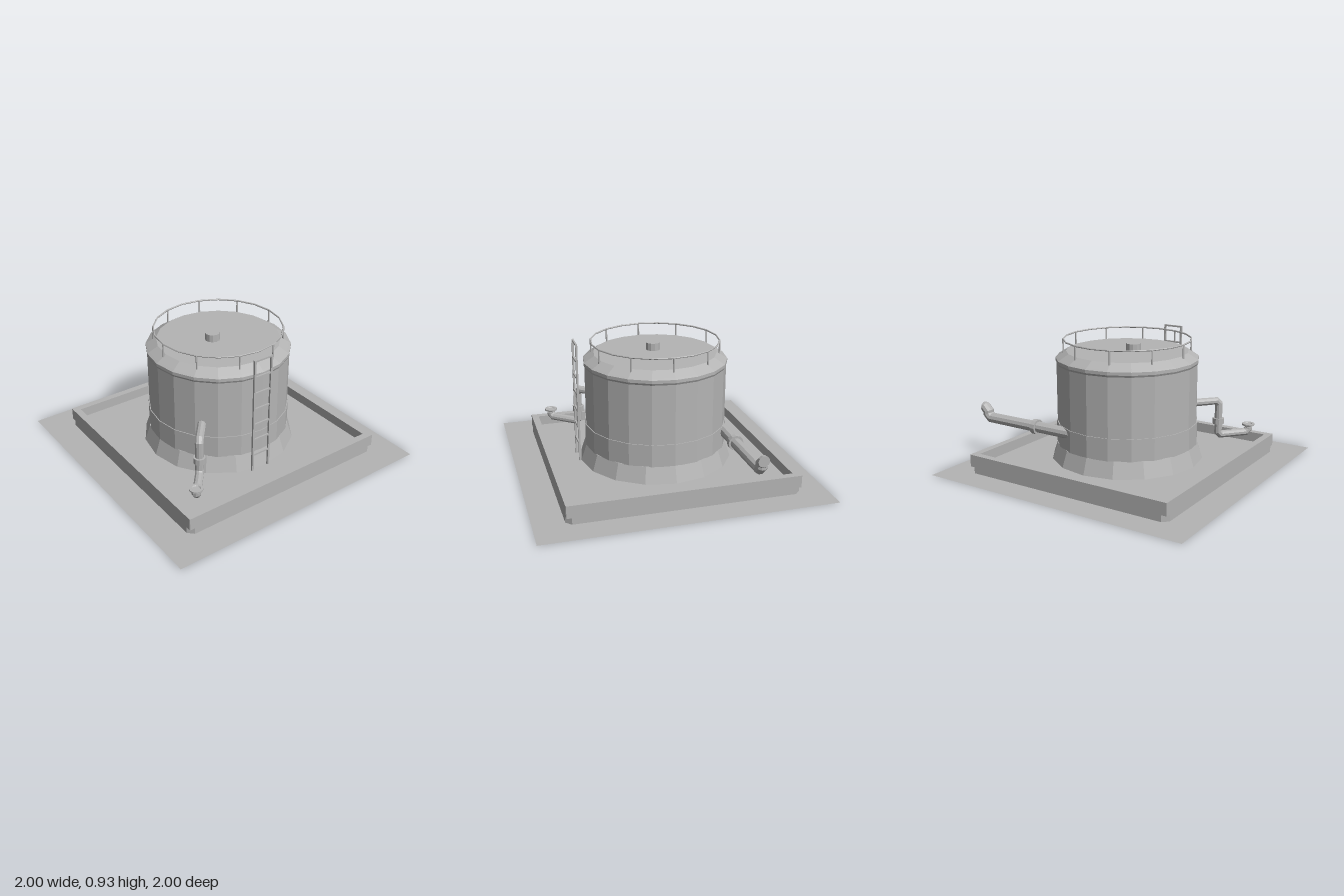
import * as THREE from 'three';

const CX = 0.01, CZ = -0.01; // tank axis
const concrete = new THREE.MeshStandardMaterial({ color: 0xb4b4b4, flatShading: true, side: THREE.DoubleSide });
concrete.name = 'plain grey';

const V = (x, y, z) => new THREE.Vector3(x, y, z);

function add(parent, name, geometry, x = 0, y = 0, z = 0) {
  const mesh = new THREE.Mesh(geometry, concrete);
  mesh.name = name;
  mesh.position.set(x, y, z);
  parent.add(mesh);
  return mesh;
}

function lathe(parent, name, profile, sides, x = CX, z = CZ) {
  const points = profile.map(([r, y]) => new THREE.Vector2(r, y));
  return add(parent, name, new THREE.LatheGeometry(points, sides), x, 0, z);
}

// Polyline path that places one tube ring at each point
class Polyline extends THREE.Curve {
  constructor(points) { super(); this.points = points; }
  getPoint(t) { return this.points[Math.round(t * (this.points.length - 1))].clone(); }
  getPointAt(t) { return this.getPoint(t); }
  getTangentAt(t) {
    const p = this.points, n = p.length - 1, i = Math.round(t * n), d = V(0, 0, 0);
    if (i > 0) d.add(p[i].clone().sub(p[i - 1]).normalize());
    if (i < n) d.add(p[i + 1].clone().sub(p[i]).normalize());
    return d.normalize();
  }
}

// Pipe with chamfered elbows and a cap on its far end
function pipe(parent, name, corners, radius, cut) {
  const path = [corners[0]];
  for (let i = 1; i < corners.length - 1; i++) {
    for (const other of [corners[i - 1], corners[i + 1]]) {
      path.push(corners[i].clone().add(other.clone().sub(corners[i]).setLength(cut)));
    }
  }
  path.push(corners.at(-1));
  add(parent, name, new THREE.TubeGeometry(new Polyline(path), path.length - 1, radius, 10));
  const cap = add(parent, name + 'Cap', new THREE.CircleGeometry(radius, 10));
  cap.position.copy(path.at(-1));
  cap.lookAt(path.at(-1).clone().multiplyScalar(2).sub(path.at(-2)));
}

// Square outline with optional cut corners
function square(half, cut = 0) {
  const h = half, c = half - cut;
  const pts = [[c, -h], [h, -c], [h, c], [c, h], [-c, h], [-h, c], [-h, -c], [-c, -h]];
  return pts.map(([x, y]) => new THREE.Vector2(x, y));
}

function frame(parent, name, cut, y, height) {
  const shape = new THREE.Shape(square(0.8, cut));
  shape.holes.push(new THREE.Path(square(0.75)));
  const geometry = new THREE.ExtrudeGeometry(shape, { depth: height, bevelEnabled: false });
  geometry.rotateX(-Math.PI / 2);
  add(parent, name, geometry, 0.01, y, -0.01);
}

export function createModel() {
  const model = new THREE.Group();
  model.name = 'storageTank';

  // Ground sheet and containment curb
  add(model, 'ground', new THREE.PlaneGeometry(2, 2).rotateX(-Math.PI / 2));
  frame(model, 'curbFoot', 0.038, 0, 0.045);
  frame(model, 'curbWall', 0.003, 0.045, 0.087);
  add(model, 'basinFloor', new THREE.PlaneGeometry(1.5, 1.5).rotateX(-Math.PI / 2), 0.01, 0.06, -0.01);

  // Tank
  lathe(model, 'foundationRing', [[0.569, 0], [0.51, 0.175], [0.49, 0.175]], 16);
  lathe(model, 'tankShell', [[0.503, 0.1], [0.503, 0.78]], 20);
  lathe(model, 'lowerBand', [[0.5, 0.172], [0.509, 0.172], [0.509, 0.33], [0.5, 0.33]], 20);
  lathe(model, 'topFlange', [[0.5, 0.745], [0.51, 0.765], [0.51, 0.787]], 20);
  lathe(model, 'roof', [[0.51, 0.787], [0.495, 0.797], [0.435, 0.834], [0, 0.834]], 20);
  lathe(model, 'roofVent', [[0.052, 0.83], [0.052, 0.887], [0, 0.887]], 12, -0.04, -0.01);

  // Roof railing
  const railing = new THREE.Group();
  railing.name = 'railing';
  railing.position.set(CX, 0, CZ);
  model.add(railing);
  const railR = 0.453;
  add(railing, 'topRail', new THREE.TorusGeometry(railR, 0.006, 6, 20).rotateX(Math.PI / 2), 0, 0.917, 0);
  for (let i = 0; i < 10; i++) {
    const a = i * Math.PI / 5;
    add(railing, 'railPost', new THREE.CylinderGeometry(0.006, 0.006, 0.1, 6),
      railR * Math.cos(a), 0.867, railR * Math.sin(a));
  }

  // Ladder
  const ladder = new THREE.Group();
  ladder.name = 'ladder';
  ladder.position.set(-0.04, 0, 0.552);
  model.add(ladder);
  for (const side of [-1, 1]) {
    add(ladder, 'ladderRail', new THREE.BoxGeometry(0.014, 0.862, 0.014), side * 0.068, 0.501, 0);
  }
  for (let i = 0; i < 7; i++) {
    add(ladder, 'rung', new THREE.BoxGeometry(0.136, 0.012, 0.012), 0, 0.2 + i * 0.121, 0);
  }

  // Inlet pipe with its valve, at the front corner
  pipe(model, 'inletPipe', [V(-0.3, 0.425, 0.24), V(-0.487, 0.425, 0.463),
    V(-0.487, 0.165, 0.463), V(-0.645, 0.165, 0.652), V(-0.645, 0.2, 0.652)], 0.03, 0.022);
  lathe(model, 'inletCollar', [[0.028, 0.25], [0.042, 0.25], [0.042, 0.293], [0.028, 0.293]], 10, -0.487, 0.463);
  lathe(model, 'valve', [[0.022, 0.18], [0.022, 0.205], [0.047, 0.216], [0.047, 0.228],
    [0.03, 0.228], [0.025, 0.222], [0, 0.222]], 12, -0.645, 0.652);

  // Outlet pipe along the back
  pipe(model, 'outletPipe', [V(0.15, 0.292, -0.44), V(0.962, 0.292, -0.44),
    V(0.962, 0.365, -0.44), V(1, 0.365, -0.44)], 0.04, 0.027);
  const collar = add(model, 'outletCollar', new THREE.CylinderGeometry(0.054, 0.054, 0.036, 12), 0.508, 0.292, -0.44);
  collar.rotation.z = Math.PI / 2;

  return model;
}
